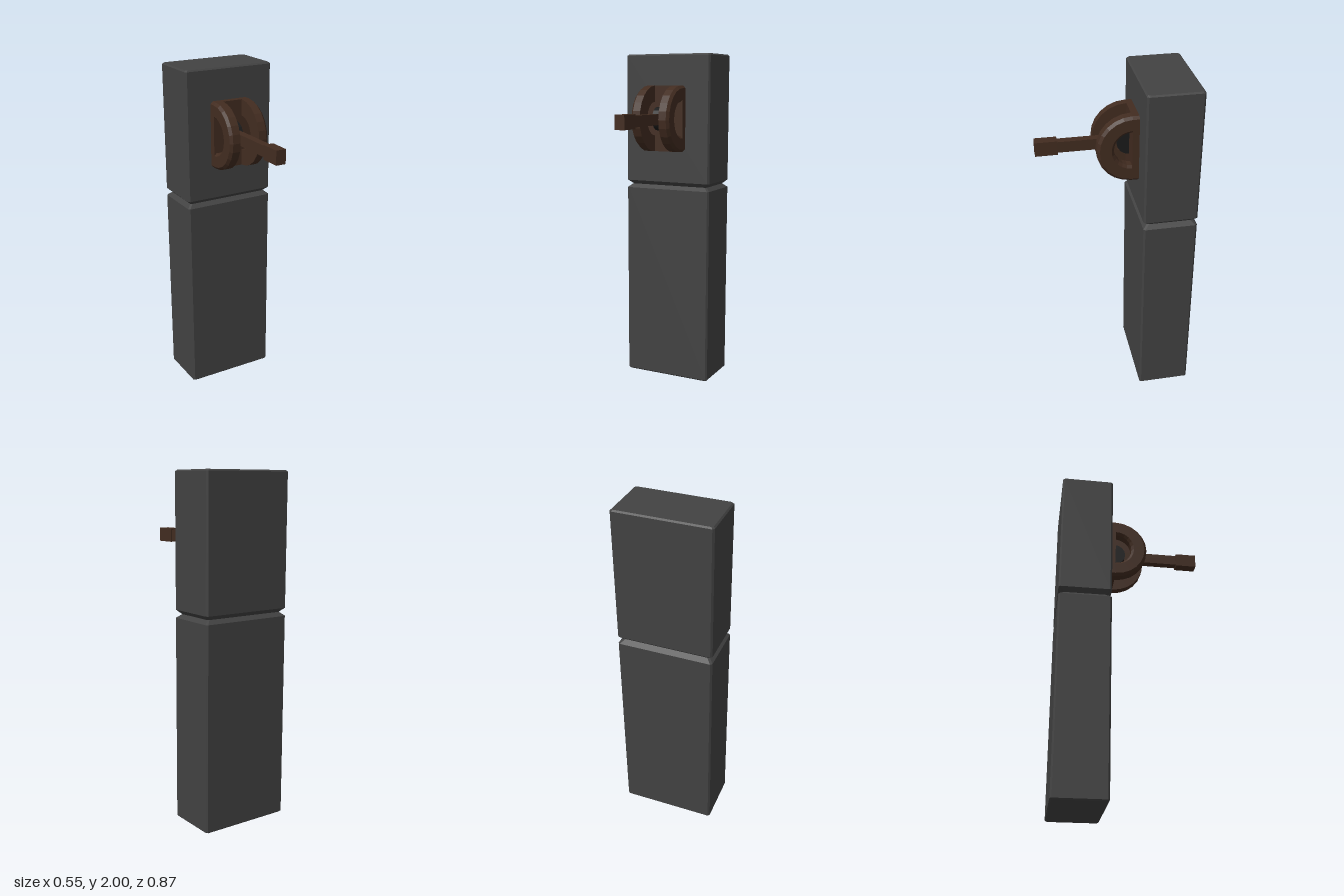
import * as THREE from 'three';

const grey = new THREE.MeshStandardMaterial({ color: 0x424242, flatShading: true });
const brown = new THREE.MeshStandardMaterial({ color: 0x422c20, flatShading: true });
const black = new THREE.MeshStandardMaterial({ color: 0x1a1a1a, flatShading: true });

// Half extents around a centre, with corners cut by c
function cutRect(w, h, c) {
  return [[w, -h + c], [w, h - c], [w - c, h], [-w + c, h], [-w, h - c], [-w, -h + c], [-w + c, -h], [w - c, -h]];
}

// Block with bevelled edges, built from [height, inset] levels
function bevelledBlock(halfX, halfZ, cut, levels) {
  const pos = [];
  const rings = levels.map(([y, inset]) =>
    cutRect(halfX - inset, halfZ - inset, cut).map(([x, z]) => [x, y, z]));
  const tri = (a, b, c) => pos.push(...a, ...b, ...c);
  const n = rings[0].length;
  const last = rings[rings.length - 1];
  for (let i = 0; i < n; i++) {
    const j = (i + 1) % n;
    for (let k = 0; k < rings.length - 1; k++) {
      const [lo, hi] = [rings[k], rings[k + 1]];
      tri(lo[i], hi[i], hi[j]);
      tri(lo[i], hi[j], lo[j]);
    }
    tri([0, levels[0][0], 0], rings[0][i], rings[0][j]);
    tri([0, last[0][1], 0], last[j], last[i]);
  }
  const geo = new THREE.BufferGeometry();
  geo.setAttribute('position', new THREE.Float32BufferAttribute(pos, 3));
  geo.computeVertexNormals();
  return geo;
}

export function createModel() {
  const model = new THREE.Group();
  const add = (name, geo, mat, x, y, z) => {
    const mesh = new THREE.Mesh(geo, mat);
    mesh.name = name;
    mesh.position.set(x, y, z);
    model.add(mesh);
    return mesh;
  };

  // Two stacked blocks meeting at a narrow groove
  add('lowerBlock', bevelledBlock(0.276, 0.155, 0.01,
    [[0, 0.008], [0.008, 0], [1.19, 0], [1.212, 0.026]]), grey, 0, 0, -0.28);
  add('upperBlock', bevelledBlock(0.276, 0.155, 0.01,
    [[1.212, 0.026], [1.236, 0], [1.992, 0], [2, 0.008]]), grey, 0, 0, -0.28);

  // Bracket: back plate with cut corners
  const cx = -0.001, cy = 1.62, cz = -0.087;
  const plate = new THREE.Shape(cutRect(0.122, 0.195, 0.015).map(p => new THREE.Vector2(...p)));
  add('bracketPlate', new THREE.ExtrudeGeometry(plate, { depth: 0.04, bevelEnabled: false }),
    brown, cx, cy, cz - 0.04);

  // Half-ring cheeks on either side, chamfered on their outer faces
  const section = [[0.195, 0.06], [0.195, 0.107], [0.18, 0.122], [0.115, 0.122],
    [0.1, 0.107], [0.1, 0.06], [0.195, 0.06]].map(p => new THREE.Vector2(...p));
  const cheek = new THREE.LatheGeometry(section, 12, 0, Math.PI);
  cheek.applyMatrix4(new THREE.Matrix4().makeBasis(
    new THREE.Vector3(0, 0, 1), new THREE.Vector3(1, 0, 0), new THREE.Vector3(0, 1, 0)));
  add('leftCheek', cheek, brown, cx, cy, cz);
  add('rightCheek', cheek, brown, cx, cy, cz).rotation.z = Math.PI;

  // Pivot, lever and grip
  const pivot = new THREE.CylinderGeometry(0.07, 0.07, 0.075, 16);
  pivot.rotateZ(Math.PI / 2);
  add('pivot', pivot, black, -0.008, cy, cz);
  add('lever', new THREE.BoxGeometry(0.045, 0.064, 0.35), brown, -0.008, 1.619, 0.137);
  add('leverGrip', new THREE.BoxGeometry(0.06, 0.082, 0.125), brown, -0.008, 1.619, 0.3725);

  return model;
}
